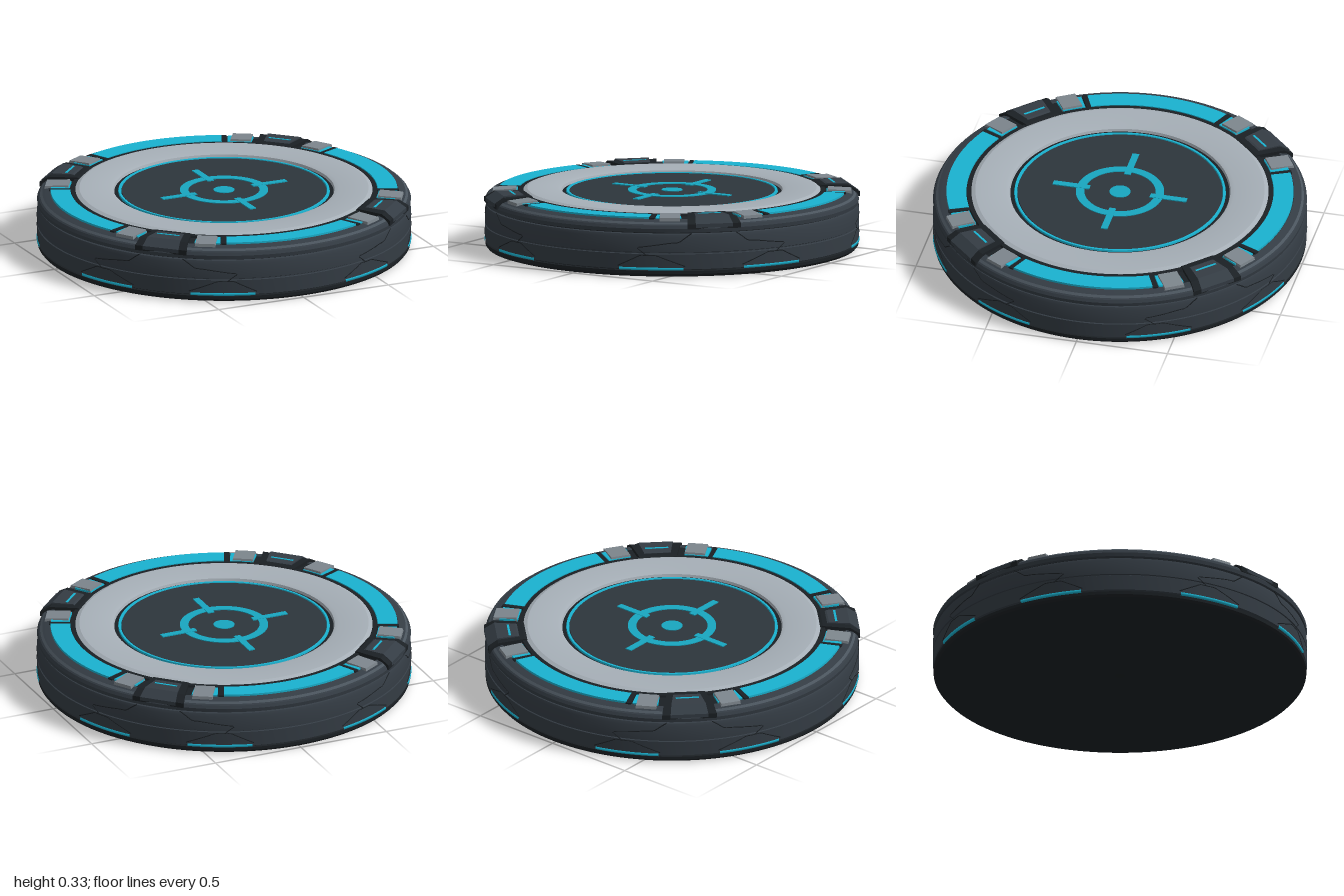
import * as THREE from 'three';
import { toCreasedNormals } from 'three/addons/utils/BufferGeometryUtils.js';

const mat = (color) => new THREE.MeshStandardMaterial({ color });
const RAD = Math.PI / 180;

export function createModel() {
  const model = new THREE.Group();
  const body = mat(0x343c44), dark = mat(0x1b2024), panel = mat(0x2d353c), rimGrey = mat(0x4a545d);
  const silver = mat(0xa6afb7), grey = mat(0x7d868d), cyan = mat(0x1ab2d0), glyph = mat(0x18a6c0);

  const add = (name, geo, material, parent = model) => {
    const mesh = new THREE.Mesh(geo, material);
    mesh.name = name;
    parent.add(mesh);
    return mesh;
  };

  // Ring or disc turned from [radius, height] points, bottom to top
  const turned = (name, pts, material) => add(name, toCreasedNormals(
    new THREE.LatheGeometry(pts.map(([r, y]) => new THREE.Vector2(r, y)), 128), 0.4), material);

  // Flat curved slab between two radii and two angles (degrees from +x)
  const arcSlab = (r0, r1, a0, a1, y0, y1) => {
    const s = new THREE.Shape();
    s.absarc(0, 0, r1, a0 * RAD, a1 * RAD, false);
    s.absarc(0, 0, r0, a1 * RAD, a0 * RAD, true);
    const g = new THREE.ExtrudeGeometry(s, { depth: y1 - y0, bevelEnabled: false, curveSegments: 32 });
    return g.rotateX(-Math.PI / 2).translate(0, y0, 0);
  };

  // Main shell
  turned('base', [[0, 0], [0.965, 0], [0.985, 0.006], [0.995, 0.018], [0.995, 0.034], [0.985, 0.038], [0.985, 0.05]], dark);
  turned('sideWall', [[0.985, 0.04], [0.997, 0.044], [0.998, 0.125], [0.992, 0.128], [0.992, 0.133],
    [0.998, 0.136], [0.997, 0.215], [0.99, 0.232], [0.975, 0.238]], body);
  turned('rimGroove', [[0.98, 0.225], [0.98, 0.25]], dark);
  turned('rim', [[0.975, 0.238], [0.995, 0.242], [0.998, 0.262], [0.99, 0.278], [0.982, 0.284]], body);
  turned('rimHighlight', [[0.982, 0.284], [0.97, 0.294]], rimGrey);
  turned('rimSlope', [[0.97, 0.294], [0.955, 0.299], [0.93, 0.305], [0.925, 0.3]], body);
  turned('topBed', [[0.935, 0.3], [0.54, 0.3]], dark);

  // Top rings and centre plate
  turned('innerLip', [[0.82, 0.3], [0.817, 0.311], [0.795, 0.313], [0.785, 0.3]], dark);
  turned('silverRing', [[0.793, 0.3], [0.793, 0.312], [0.772, 0.321], [0.612, 0.321], [0.59, 0.314], [0.585, 0.3]], silver);
  turned('glowRing', [[0.565, 0.3], [0.563, 0.31], [0.551, 0.31], [0.548, 0.3]], cyan);
  turned('centrePlate', [[0.55, 0.298], [0.546, 0.307], [0, 0.307]], panel);

  // Target sign on the centre plate
  turned('targetRing', [[0.236, 0.305], [0.236, 0.311], [0.19, 0.311], [0.19, 0.305]], glyph);
  turned('targetDot', [[0.056, 0.305], [0.056, 0.311], [0, 0.311]], glyph);

  // Clamp: radial profile stretched sideways, widening outwards
  const clampGeo = (pts, inner, outer) => {
    const s = new THREE.Shape(pts.map(([r, y]) => new THREE.Vector2(r, y)));
    const g = new THREE.ExtrudeGeometry(s, { depth: 1, bevelEnabled: false }).translate(0, 0, -0.5);
    const p = g.attributes.position;
    for (let i = 0; i < p.count; i++) {
      const t = (p.getX(i) - 0.79) / 0.2;
      p.setZ(i, p.getZ(i) * (inner + (outer - inner) * t));
    }
    g.computeVertexNormals();
    return g;
  };
  const clampBase = clampGeo([[0.785, 0.295], [0.995, 0.26], [0.995, 0.287], [0.945, 0.317], [0.8, 0.32], [0.785, 0.315]], 0.2, 0.29);
  const clampPlate = clampGeo([[0.825, 0.3], [0.998, 0.268], [0.998, 0.288], [0.945, 0.325], [0.835, 0.325], [0.825, 0.321]], 0.13, 0.2);
  const slit = new THREE.BoxGeometry(0.012, 0.004, 0.125).translate(0.875, 0.325, 0);

  // Engraved side line through [degrees, height] points
  const sideLine = (pts) => {
    const path = [];
    pts.slice(1).forEach(([a1, y1], i) => {
      const [a0, y0] = pts[i];
      const n = Math.max(2, Math.ceil(Math.abs(a1 - a0) / 2));
      for (let k = i ? 1 : 0; k <= n; k++) {
        const a = (a0 + (a1 - a0) * k / n) * RAD;
        path.push(new THREE.Vector3(Math.cos(a) * 0.997, y0 + (y1 - y0) * k / n, Math.sin(a) * 0.997));
      }
    });
    return new THREE.TubeGeometry(new THREE.CatmullRomCurve3(path), path.length * 2, 0.003, 4);
  };
  const lines = [
    [[15, 0.06], [22, 0.118], [27, 0.118], [36, 0.06]],
    [[24, 0.118], [21, 0.16], [31, 0.185], [34, 0.19], [38, 0.238]],
  ];

  // Four identical quarters
  for (let q = 0; q < 4; q++) {
    const quarter = new THREE.Group();
    quarter.name = 'quarter' + (q + 1);
    quarter.rotation.y = q * Math.PI / 2;
    model.add(quarter);

    add('targetBar', new THREE.BoxGeometry(0.2, 0.007, 0.036).translate(0.266, 0.309, 0), glyph, quarter);
    add('glowArc', arcSlab(0.82, 0.926, -24.3, 24.3, 0.295, 0.314), cyan, quarter);

    for (const side of [-1, 1]) {
      const span = (a, b) => side > 0 ? [a, b] : [-b, -a];
      add('arcEnd', arcSlab(0.815, 0.935, ...span(24.3, 26), 0.295, 0.312), dark, quarter);
      add('glowSliver', arcSlab(0.825, 0.925, ...span(26.4, 35), 0.295, 0.311), cyan, quarter);

      // Grey block beside the clamp, sloping down to the rim
      const block = new THREE.BoxGeometry(0.135, 0.03, 0.115);
      const p = block.attributes.position;
      for (let i = 0; i < p.count; i++) if (p.getY(i) > 0) p.setXYZ(i, p.getX(i) * 0.92, p.getY(i), p.getZ(i) * 0.93);
      block.computeVertexNormals();
      block.rotateZ(-0.06).translate(0.893, 0.303, 0).rotateY(side * 31.2 * RAD);
      add('greyBlock', block, grey, quarter);

      // Glow strip and panel lines on the side wall
      const strip = new THREE.LatheGeometry([[0.99, 0.037], [1, 0.039], [1, 0.052], [0.99, 0.054]]
        .map(([r, y]) => new THREE.Vector2(r, y)), 16, Math.PI / 2 + (side * 25.5 - 10) * RAD, 20 * RAD);
      add('sideGlowStrip', strip, cyan, quarter);
      for (const l of lines) add('panelLine', sideLine(l.map(([a, y]) => [a * side, y])), dark, quarter);
    }

    const clamp = new THREE.Group();
    clamp.name = 'clamp';
    clamp.rotation.y = Math.PI / 4;
    quarter.add(clamp);
    add('clampBase', clampBase, dark, clamp);
    add('clampPlate', clampPlate, body, clamp);
    add('clampSlit', slit, cyan, clamp);
  }
  return model;
}
